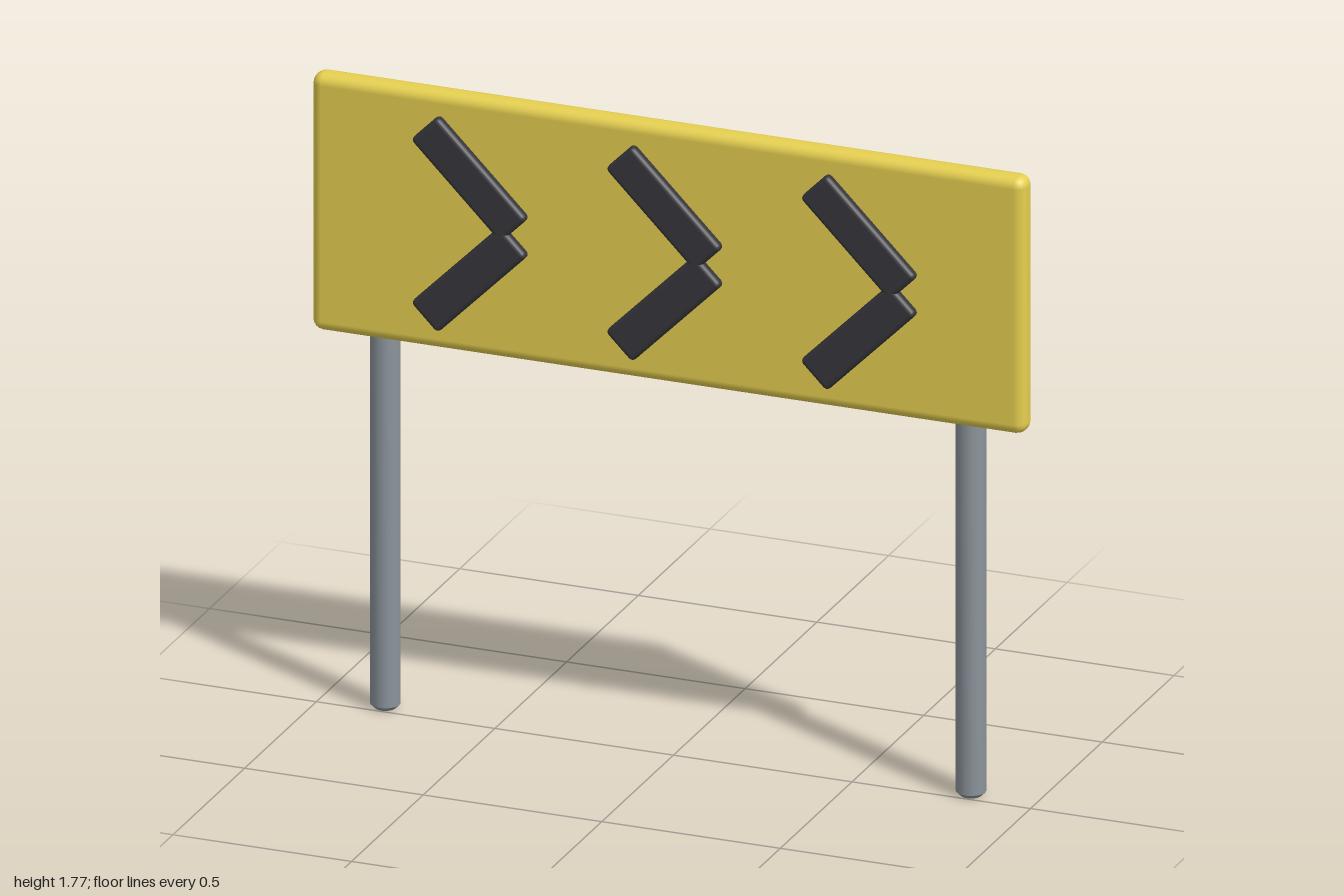
import * as THREE from 'three';
import { RoundedBoxGeometry } from 'three/addons/geometries/RoundedBoxGeometry.js';
import { toCreasedNormals } from 'three/addons/utils/BufferGeometryUtils.js';

const yellow = new THREE.MeshStandardMaterial({ color: 0xe6d050 });
const steel = new THREE.MeshStandardMaterial({ color: 0x8b949b });
const black = new THREE.MeshStandardMaterial({ color: 0x37363b });

function addPart(parent, name, geometry, material, x, y, z) {
  const mesh = new THREE.Mesh(geometry, material);
  mesh.name = name;
  mesh.position.set(x, y, z);
  parent.add(mesh);
  return mesh;
}

export function createModel() {
  const model = new THREE.Group();
  model.name = 'chevronSign';

  // Panel with rounded rim
  addPart(model, 'board', new RoundedBoxGeometry(2, 0.72, 0.07, 2, 0.03), yellow, 0, 1.415, 0.01);

  // Two round posts behind the panel, with small bevelled ends
  const r = 0.04, h = 1.64, b = 0.012;
  const profile = [[0, 0], [r - b, 0], [r, b], [r, h - b], [r - b, h], [0, h]]
    .map(([x, y]) => new THREE.Vector2(x, y));
  const postGeometry = toCreasedNormals(new THREE.LatheGeometry(profile, 20), 0.6);
  for (const side of [-1, 1]) {
    addPart(model, side > 0 ? 'leftPost' : 'rightPost', postGeometry, steel, side * 0.82, 0, -0.033);
  }

  // Three chevrons, each of two mirrored bars
  const barGeometry = new RoundedBoxGeometry(0.355, 0.106, 0.045, 2, 0.013);
  for (let i = -1; i <= 1; i++) {
    const chevron = new THREE.Group();
    chevron.name = 'chevron';
    chevron.position.set(i * 0.545 - 0.003, 1.413, 0.0475);
    for (const side of [-1, 1]) {
      const bar = addPart(chevron, side > 0 ? 'upperBar' : 'lowerBar', barGeometry, black, 0, side * 0.14, 0);
      bar.rotation.z = -side * Math.PI / 4;
    }
    model.add(chevron);
  }
  return model;
}
